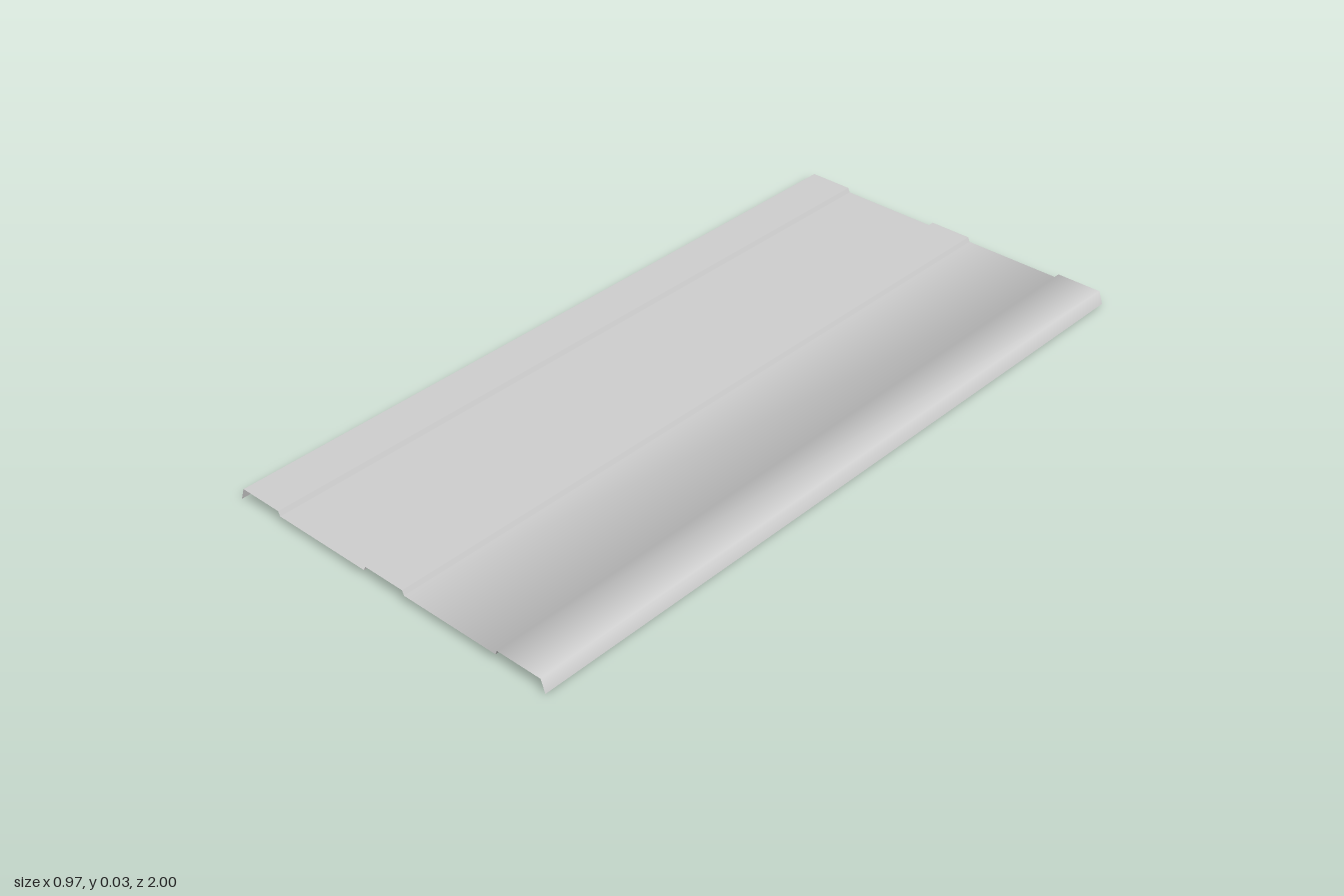
import * as THREE from 'three';

const LOW = 0.021, TOP = 0.033, LENGTH = 2;

// Cross-section of the pressed sheet, from right to left: [x, y, smooth bend?]
const PROFILE = [
  [-0.485, 0], [-0.473, TOP],
  [-0.351, TOP], [-0.346, LOW],
  [-0.064, LOW], [-0.059, TOP],
  [0.059, TOP], [0.064, LOW],
  [0.342, LOW, true], [0.347, TOP, true],
  [0.473, TOP, true], [0.485, 0],
];

// Sweeps the open profile along z; bends are sharp unless marked smooth
function sheetGeometry(profile, length) {
  const normals = profile.slice(1).map(([x, y], i) =>
    new THREE.Vector2(profile[i][1] - y, x - profile[i][0]).normalize());
  const bend = (point, segment) => {
    if (!profile[point][2]) return normals[segment];
    return normals[point - 1].clone().add(normals[point]).normalize();
  };
  const position = [], normal = [], index = [];
  for (let s = 0; s < normals.length; s++) {
    for (const p of [s, s + 1]) {
      const n = bend(p, s);
      for (const z of [length / 2, -length / 2]) {
        position.push(profile[p][0], profile[p][1], z);
        normal.push(n.x, n.y, 0);
      }
    }
    const a = s * 4;
    index.push(a, a + 2, a + 3, a, a + 3, a + 1);
  }
  const geometry = new THREE.BufferGeometry();
  geometry.setAttribute('position', new THREE.Float32BufferAttribute(position, 3));
  geometry.setAttribute('normal', new THREE.Float32BufferAttribute(normal, 3));
  geometry.setIndex(index);
  return geometry;
}

export function createModel() {
  const group = new THREE.Group();
  group.name = 'sheetPanel';

  // Thin ribbed panel with folded long edges
  const material = new THREE.MeshStandardMaterial({ color: 0xcccccc, side: THREE.DoubleSide });
  const panel = new THREE.Mesh(sheetGeometry(PROFILE, LENGTH), material);
  panel.name = 'ribbedSheet';
  group.add(panel);
  return group;
}
